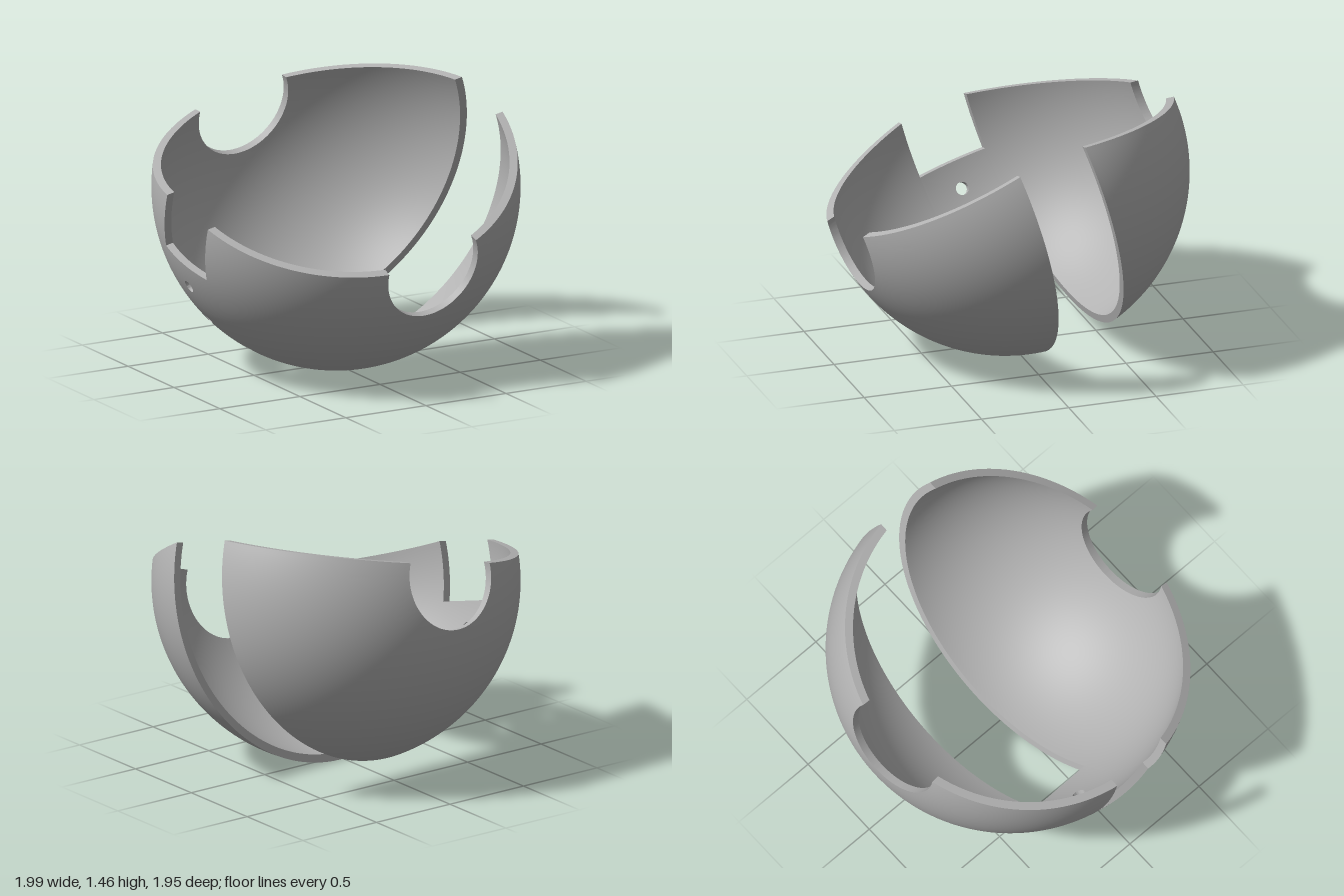
import * as THREE from 'three';
import { toCreasedNormals } from 'three/addons/utils/BufferGeometryUtils.js';

const OUTER = 1, INNER = 0.957;     // shell radii
const SLOT = 0.2;                   // half width of the slot
const PORT = 0.29;                  // radius of the front and back cutouts
const RIM = 0.25, TILT = 0.186;     // rim plane distance and tilt (radians)
const BRIDGE_TOP = 0.11, BRIDGE_END = 0.71;
const HOLE = 0.036;

// Closed shell from point(s, t, radius): outer and inner skins joined by edge walls.
function shell(point, ns, nt, closed = false) {
  const grid = (r) => Array.from({ length: ns + 1 }, (_, i) =>
    Array.from({ length: nt + 1 }, (_, j) => point(i / ns, j / nt, r)));
  const o = grid(OUTER), n = grid(INNER);
  const i0 = ns >> 1, j0 = nt >> 1;
  const ds = o[i0 + 1][j0].clone().sub(o[i0][j0]);
  const dt = o[i0][j0 + 1].clone().sub(o[i0][j0]);
  const flip = ds.cross(dt).dot(o[i0][j0]) < 0;
  const pos = [];
  const quad = (a, b, c, d) => {
    const list = flip ? [a, c, b, a, d, c] : [a, b, c, a, c, d];
    list.forEach((p) => pos.push(p.x, p.y, p.z));
  };
  for (let i = 0; i < ns; i++) {
    for (let j = 0; j < nt; j++) {
      quad(o[i][j], o[i + 1][j], o[i + 1][j + 1], o[i][j + 1]);
      quad(n[i][j], n[i][j + 1], n[i + 1][j + 1], n[i + 1][j]);
    }
    quad(o[i + 1][0], o[i][0], n[i][0], n[i + 1][0]);
    quad(o[i][nt], o[i + 1][nt], n[i + 1][nt], n[i][nt]);
  }
  if (!closed) {
    for (let j = 0; j < nt; j++) {
      quad(o[0][j], o[0][j + 1], n[0][j + 1], n[0][j]);
      quad(o[ns][j + 1], o[ns][j], n[ns][j], n[ns][j + 1]);
    }
  }
  const geo = new THREE.BufferGeometry();
  geo.setAttribute('position', new THREE.Float32BufferAttribute(pos, 3));
  return toCreasedNormals(geo, 0.5);
}

// Half shell: polar sweep about the port axis, ending at the sloping rim plane.
function halfShell(side) {
  return shell((s, t, r) => {
    const theta = THREE.MathUtils.lerp(Math.asin(PORT / r), Math.acos(SLOT / r), t);
    const rho = r * Math.sin(theta), z = r * Math.cos(theta);
    const top = Math.asin((RIM - z * Math.sin(TILT)) / (rho * Math.cos(TILT)));
    const phi = THREE.MathUtils.lerp(-Math.PI - top, top, s);
    return new THREE.Vector3(rho * Math.cos(phi), rho * Math.sin(phi), side * z);
  }, 128, 40);
}

// Bridge section: a four-sided patch around one radial screw hole.
function bridgePatch(holeAngle, startAngle, endAngle) {
  const c = Math.cos(holeAngle), d = Math.sin(holeAngle);
  const axis = new THREE.Vector3(-c, -d, 0);
  const down = new THREE.Vector3(d, -c, 0);
  return shell((s, t, r) => {
    const w = s * Math.PI * 2, cw = Math.cos(w), sw = Math.sin(w);
    const m = Math.max(Math.abs(cw), Math.abs(sw));
    const z = SLOT * sw / m, q = Math.sqrt(r * r - z * z);
    const psi = THREE.MathUtils.lerp(startAngle(q), endAngle(q), (cw / m + 1) / 2);
    const border = new THREE.Vector3(-q * Math.cos(psi), -q * Math.sin(psi), z);
    const ring = axis.clone().multiplyScalar(Math.sqrt(r * r - HOLE * HOLE))
      .addScaledVector(down, HOLE * cw);
    ring.z += HOLE * sw;
    return ring.lerp(border, t).setLength(r);
  }, 64, 10, true);
}

export function createModel() {
  const model = new THREE.Group();
  model.name = 'slottedShell';
  const grey = new THREE.MeshStandardMaterial({ color: 0xb2b2b2 });
  grey.name = 'plain grey';

  const body = new THREE.Group();
  body.name = 'shellBody';
  const add = (name, geo) => {
    const mesh = new THREE.Mesh(geo, grey);
    mesh.name = name;
    body.add(mesh);
  };

  add('frontHalfShell', halfShell(1));
  add('backHalfShell', halfShell(-1));

  const middle = () => 0.417;
  add('upperBridge', bridgePatch(0.276, (q) => Math.asin(BRIDGE_TOP / q), middle));
  add('lowerBridge', bridgePatch(0.558, middle, (q) => Math.acos(BRIDGE_END / q)));

  // Lean the whole shell
  const x = new THREE.Vector3(0.977, 0.207, -0.027).normalize();
  const z = x.clone().cross(new THREE.Vector3(-0.192, 0.941, 0.281)).normalize();
  const y = z.clone().cross(x);
  body.quaternion.setFromRotationMatrix(new THREE.Matrix4().makeBasis(x, y, z));
  body.position.set(0, 1, 0.02);
  model.add(body);
  return model;
}
